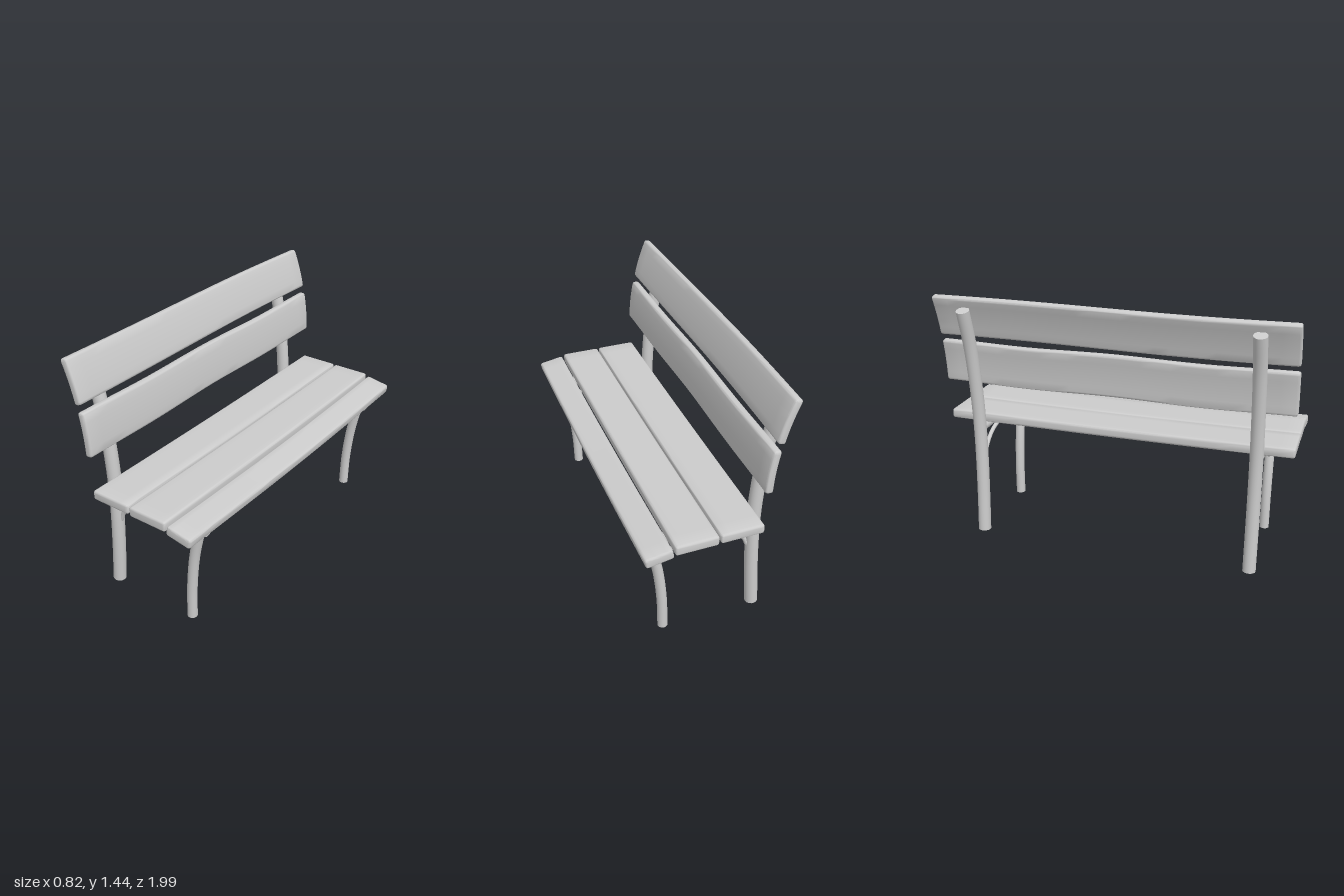
import * as THREE from 'three';
import { toCreasedNormals } from 'three/addons/utils/BufferGeometryUtils.js';

const material = new THREE.MeshStandardMaterial({ color: 0xcccccc });

function addMesh(parent, name, geometry) {
  const mesh = new THREE.Mesh(geometry, material);
  mesh.name = name;
  parent.add(mesh);
  return mesh;
}

// Round bar along a curve through [x, y] points, closed with a disc at each end
function bar(name, points, radius) {
  const group = new THREE.Group();
  group.name = name;
  const curve = new THREE.CatmullRomCurve3(points.map(([x, y]) => new THREE.Vector3(x, y, 0)));
  addMesh(group, name + 'Tube', new THREE.TubeGeometry(curve, 28, radius, 18));
  for (const t of [0, 1]) {
    const cap = addMesh(group, name + 'Cap', new THREE.CircleGeometry(radius, 18));
    const out = curve.getTangent(t).multiplyScalar(t ? 1 : -1);
    cap.position.copy(curve.getPoint(t));
    cap.quaternion.setFromUnitVectors(new THREE.Vector3(0, 0, 1), out);
  }
  return group;
}

// Rounded plank running along z; its section spans from one [x, y] edge to the other.
// bow curves the section, warp(z) returns the [dx, dy] shift along the length.
function plank(name, [x0, y0], [x1, y1], thickness, bow, warp) {
  const half = Math.hypot(x1 - x0, y1 - y0) / 2, h = thickness / 2;
  const r = 0.016, bevel = 0.012, length = 1.99;
  const shape = new THREE.Shape();
  const side = (s) => {
    for (let i = 0; i <= 6; i++) shape.lineTo(s * (half - r) * (i / 3 - 1), -s * h);
  };
  shape.moveTo(-half + r, -h);
  side(1);
  shape.quadraticCurveTo(half, -h, half, -h + r);
  shape.lineTo(half, h - r);
  shape.quadraticCurveTo(half, h, half - r, h);
  side(-1);
  shape.quadraticCurveTo(-half, h, -half, h - r);
  shape.lineTo(-half, -h + r);
  shape.quadraticCurveTo(-half, -h, -half + r, -h);

  const geometry = new THREE.ExtrudeGeometry(shape, {
    depth: length - 2 * bevel, steps: 24, curveSegments: 4,
    bevelSize: bevel, bevelThickness: bevel, bevelOffset: -bevel, bevelSegments: 3,
  });
  geometry.translate(0, 0, bevel - length / 2);
  const p = geometry.attributes.position;
  for (let i = 0; i < p.count; i++) {
    p.setY(i, p.getY(i) - bow * (1 - (p.getX(i) / half) ** 2));
  }
  geometry.rotateZ(Math.atan2(y1 - y0, x1 - x0));
  geometry.translate((x0 + x1) / 2, (y0 + y1) / 2, 0);
  for (let i = 0; i < p.count; i++) {
    const [dx, dy] = warp(p.getZ(i));
    p.setXY(i, p.getX(i) + dx, p.getY(i) + dy);
  }
  const mesh = new THREE.Mesh(toCreasedNormals(geometry, 0.6), material);
  mesh.name = name;
  return mesh;
}

export function createModel() {
  const bench = new THREE.Group();
  bench.name = 'bench';

  // Two identical side frames
  for (const z of [-0.8, 0.8]) {
    const frame = new THREE.Group();
    frame.name = z > 0 ? 'leftFrame' : 'rightFrame';
    frame.position.z = z;
    frame.add(
      bar('backPost', [[-0.29, 0.006], [-0.273, 0.25], [-0.263, 0.5], [-0.265, 0.7], [-0.284, 0.93],
        [-0.32, 1.16], [-0.377, 1.37]], 0.037),
      bar('frontLeg', [[0.24, 0.004], [0.246, 0.2], [0.269, 0.41], [0.312, 0.61]], 0.028),
      bar('seatRail', [[-0.24, 0.65], [0, 0.647], [0.2, 0.633], [0.362, 0.61]], 0.029),
      bar('archBrace', [[-0.24, 0.425], [-0.205, 0.5], [-0.12, 0.574], [0, 0.604], [0.12, 0.585],
        [0.21, 0.53], [0.27, 0.455]], 0.012),
    );
    bench.add(frame);
  }

  // Seat planks sag slightly towards the middle
  const sag = (depth) => (z) => [0, -depth * Math.cos(z * Math.PI / 2)];
  bench.add(
    plank('seatPlankBack', [-0.225, 0.702], [0.01, 0.702], 0.055, 0, sag(0.006)),
    plank('seatPlankMiddle', [0.019, 0.7], [0.25, 0.7], 0.057, 0, sag(0.008)),
    plank('seatPlankFront', [0.258, 0.69], [0.405, 0.664], 0.056, 0, sag(0.016)),
  );

  // Back planks curve gently in section and wander along their length
  bench.add(
    plank('backPlankLower', [-0.23, 0.922], [-0.258, 1.165], 0.043, 0.006,
      (z) => [-0.008 * Math.cos(z * Math.PI / 2), -0.008 * Math.sin(z * Math.PI) ** 2]),
    plank('backPlankUpper', [-0.268, 1.203], [-0.342, 1.433], 0.043, 0.006,
      (z) => [-0.012 * Math.cos(z * Math.PI / 2), -0.004 * Math.sin(z * Math.PI)]),
  );
  return bench;
}
